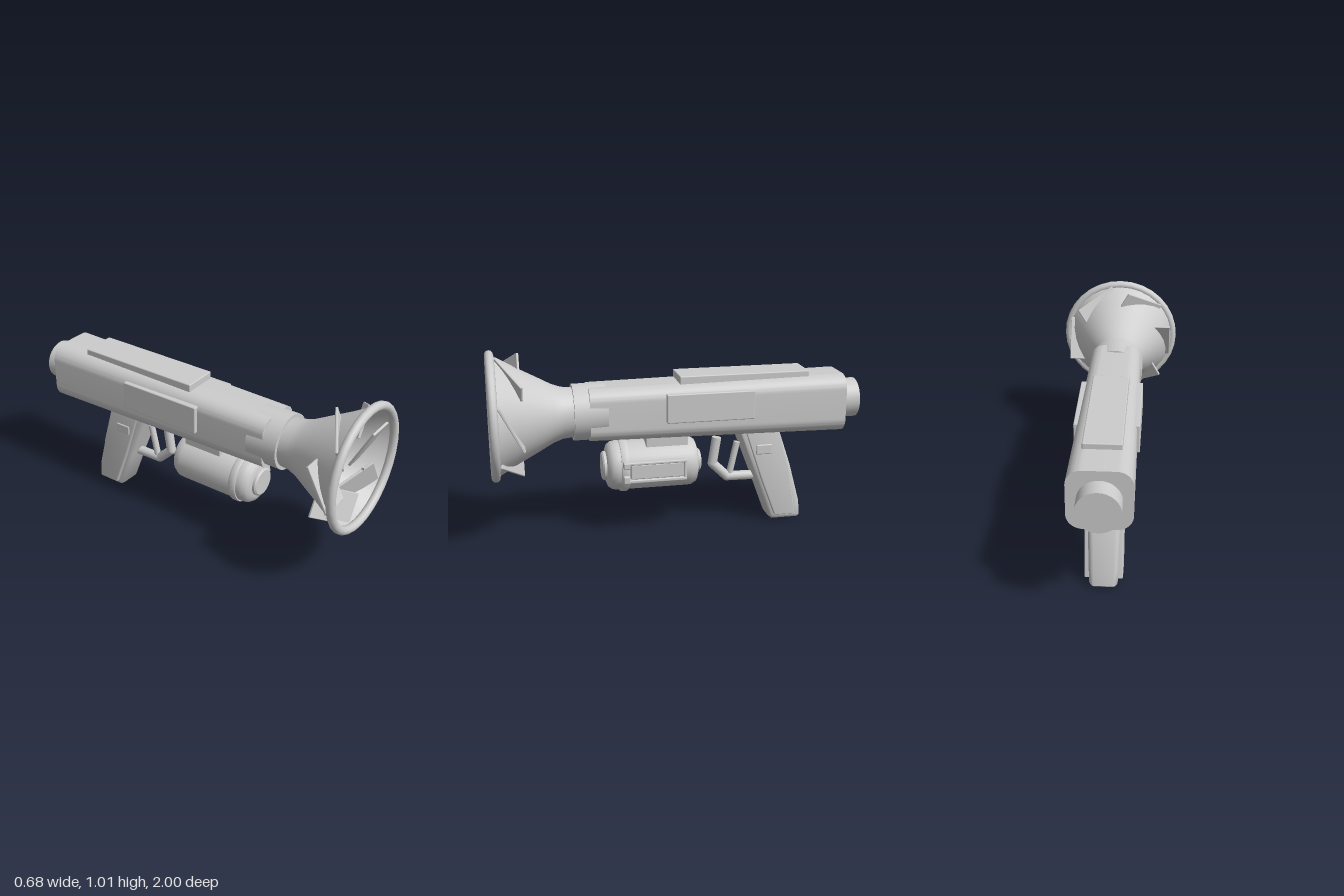
import * as THREE from 'three';
import { toCreasedNormals } from 'three/addons/utils/BufferGeometryUtils.js';
import { RoundedBoxGeometry } from 'three/addons/geometries/RoundedBoxGeometry.js';

const AXIS = 0.67; // height of the barrel axis

export function createModel() {
  const model = new THREE.Group();
  const grey = new THREE.MeshStandardMaterial({ color: 0xcccccc, side: THREE.DoubleSide });
  grey.name = 'grey';

  const add = (name, geometry, x = 0, y = 0, z = 0, parent = model) => {
    const mesh = new THREE.Mesh(geometry, grey);
    mesh.name = name;
    mesh.position.set(x, y, z);
    parent.add(mesh);
    return mesh;
  };
  // Solid or shell turned around the z axis from [radius, z] pairs
  const turned = (profile, segments = 32) => toCreasedNormals(
    new THREE.LatheGeometry(profile.map(([r, z]) => new THREE.Vector2(r, z)), segments).rotateX(Math.PI / 2), 0.6);
  // Box given by its limits, with slightly softened edges
  const block = (name, x0, x1, y0, y1, z0, z1, r = 0.006) =>
    add(name, new RoundedBoxGeometry(x1 - x0, y1 - y0, z1 - z0, 2, r), (x0 + x1) / 2, (y0 + y1) / 2, (z0 + z1) / 2);
  // Side outline in [z, y], extruded across x
  const sideSlab = (points, halfWidth, bevel) => {
    const shape = new THREE.Shape(points.map(([z, y]) => new THREE.Vector2(z, y)));
    const depth = 2 * (halfWidth - bevel);
    return new THREE.ExtrudeGeometry(shape, {
      depth, bevelEnabled: true, bevelThickness: bevel, bevelSize: bevel, bevelOffset: -bevel, bevelSegments: 4,
    }).translate(0, 0, -depth / 2).rotateY(-Math.PI / 2);
  };
  // Round bar between two [z, y] points on the centre plane
  const bar = (name, a, b, radius) => {
    const start = new THREE.Vector3(0, a[1], a[0]), end = new THREE.Vector3(0, b[1], b[0]);
    const dir = end.clone().sub(start);
    const mesh = add(name, new THREE.CylinderGeometry(radius, radius, dir.length(), 16));
    mesh.position.copy(start).add(end).multiplyScalar(0.5);
    mesh.quaternion.setFromUnitVectors(new THREE.Vector3(0, 1, 0), dir.normalize());
  };

  // Main body: rounded square tube that widens towards the rear
  const h = 0.14, c = 0.07;
  const section = new THREE.Shape();
  section.moveTo(h, c - h);
  [0, 1, 2, 3].forEach((i) => {
    const a = i * Math.PI / 2, m = Math.PI / 4 + a;
    section.absarc(Math.SQRT2 * (h - c) * Math.cos(m), Math.SQRT2 * (h - c) * Math.sin(m), c, a, a + Math.PI / 2);
  });
  const body = new THREE.ExtrudeGeometry(section, { depth: 1.385, bevelEnabled: false, curveSegments: 8 });
  const p = body.attributes.position;
  for (let i = 0; i < p.count; i++) {
    const s = 1 + 0.125 * (1 - p.getZ(i) / 1.385);
    p.setXY(i, p.getX(i) * s, p.getY(i) * s);
  }
  add('body', toCreasedNormals(body, 0.6), 0, AXIS, -0.9);

  // Front collar, inner barrel and rear plug
  add('collar', turned([[0.1, 0.39], [0.15, 0.39], [0.15, 0.565], [0.1, 0.565]]), 0, AXIS);
  add('barrel', turned([[0, 0.4], [0.107, 0.4], [0.107, 0.585], [0.1, 0.592], [0, 0.592]]), 0, AXIS);
  add('rearPlug', turned([[0, -1], [0.108, -1], [0.108, -0.88], [0, -0.88]]), 0, AXIS);

  // Flared horn with a rolled rim
  add('horn', turned([[0.13, 0.555], [0.137, 0.62], [0.155, 0.67], [0.198, 0.75],
    [0.25, 0.85], [0.285, 0.91], [0.315, 0.965]]), 0, AXIS);
  add('hornRim', new THREE.TorusGeometry(0.319, 0.023, 12, 32), 0, AXIS, 0.977);
  add('mouthBead', new THREE.BoxGeometry(0.014, 0.014, 0.014), 0, AXIS, 0.975);

  // Six pitched vanes piercing the horn wall
  for (let i = 0; i < 6; i++) {
    const pivot = new THREE.Group();
    pivot.name = 'vanePivot';
    pivot.position.set(0, AXIS, 0.89);
    pivot.rotation.z = i * Math.PI / 3;
    model.add(pivot);
    add('vane', new RoundedBoxGeometry(0.168, 0.255, 0.014, 1, 0.004), 0.219, 0, 0, pivot).rotation.x = 0.48;
  }

  // Plates on the body
  block('topPlate', -0.095, 0.095, 0.78, 0.855, -0.705, 0.005);
  for (const s of [-1, 1]) {
    add('sidePlate', new RoundedBoxGeometry(0.05, 0.155, 0.475, 2, 0.006), s * 0.141, 0.7, -0.15);
  }

  // Canister with band, end knobs and mount
  const canisterY = 0.363;
  add('canister', turned([[0, -0.1], [0.09, -0.1], [0.118, -0.09], [0.132, -0.065], [0.134, -0.04],
    [0.134, 0.34], [0.13, 0.365], [0.115, 0.385], [0.09, 0.395], [0, 0.395]]), 0, canisterY);
  add('canisterBand', turned([[0.12, 0.283], [0.14, 0.283], [0.144, 0.29], [0.144, 0.318],
    [0.14, 0.325], [0.12, 0.325]]), 0, canisterY);
  add('canisterFrontKnob', turned([[0.078, 0.38], [0.078, 0.408], [0.07, 0.416], [0, 0.416]]), 0, canisterY);
  add('canisterRearKnob', turned([[0, -0.123], [0.055, -0.123], [0.063, -0.115], [0.063, -0.09]]), 0, canisterY);
  block('canisterMount', -0.075, 0.075, 0.45, 0.55, -0.045, 0.185);

  // Latch on the left side of the canister
  block('latchPlate', 0.1, 0.155, 0.325, 0.405, -0.01, 0.28);
  block('latchRail', 0.1, 0.162, 0.305, 0.324, -0.02, 0.315);
  block('latchRail', 0.1, 0.162, 0.404, 0.42, -0.02, 0.315);
  block('latchEnd', 0.1, 0.16, 0.31, 0.415, -0.02, -0.004);
  block('latchHook', 0.12, 0.166, 0.305, 0.345, 0.285, 0.32);
  block('latchHook', 0.12, 0.166, 0.385, 0.42, 0.285, 0.32);

  // Grip: rounded core that narrows downwards, with flat cheek panels
  const core = sideSlab([[-0.315, 0.54], [-0.55, 0.54], [-0.625, 0.32], [-0.685, 0.1], [-0.692, 0.015],
    [-0.68, 0.003], [-0.53, 0.003], [-0.51, 0.02], [-0.43, 0.24]], 0.088, 0.03);
  const g = core.attributes.position;
  for (let i = 0; i < g.count; i++) g.setX(i, g.getX(i) * (0.82 + 0.35 * g.getY(i)));
  add('grip', toCreasedNormals(core, 0.7));
  add('gripPanels', toCreasedNormals(sideSlab([[-0.36, 0.53], [-0.545, 0.53], [-0.61, 0.3], [-0.652, 0.038],
    [-0.535, 0.038], [-0.45, 0.26]], 0.098, 0.006), 0.5));
  block('gripButton', -0.104, 0.104, 0.4, 0.455, -0.508, -0.418);

  // Trigger and its open guard
  const guard = [[-0.45, 0.252], [-0.28, 0.255], [-0.197, 0.335], [-0.22, 0.483]];
  for (let i = 0; i < 3; i++) bar('triggerGuard', guard[i], guard[i + 1], 0.026);
  for (const [z, y] of guard.slice(1, 3)) add('guardElbow', new THREE.SphereGeometry(0.026, 16, 10), 0, y, z);
  bar('trigger', [-0.335, 0.45], [-0.295, 0.27], 0.018);

  return model;
}
